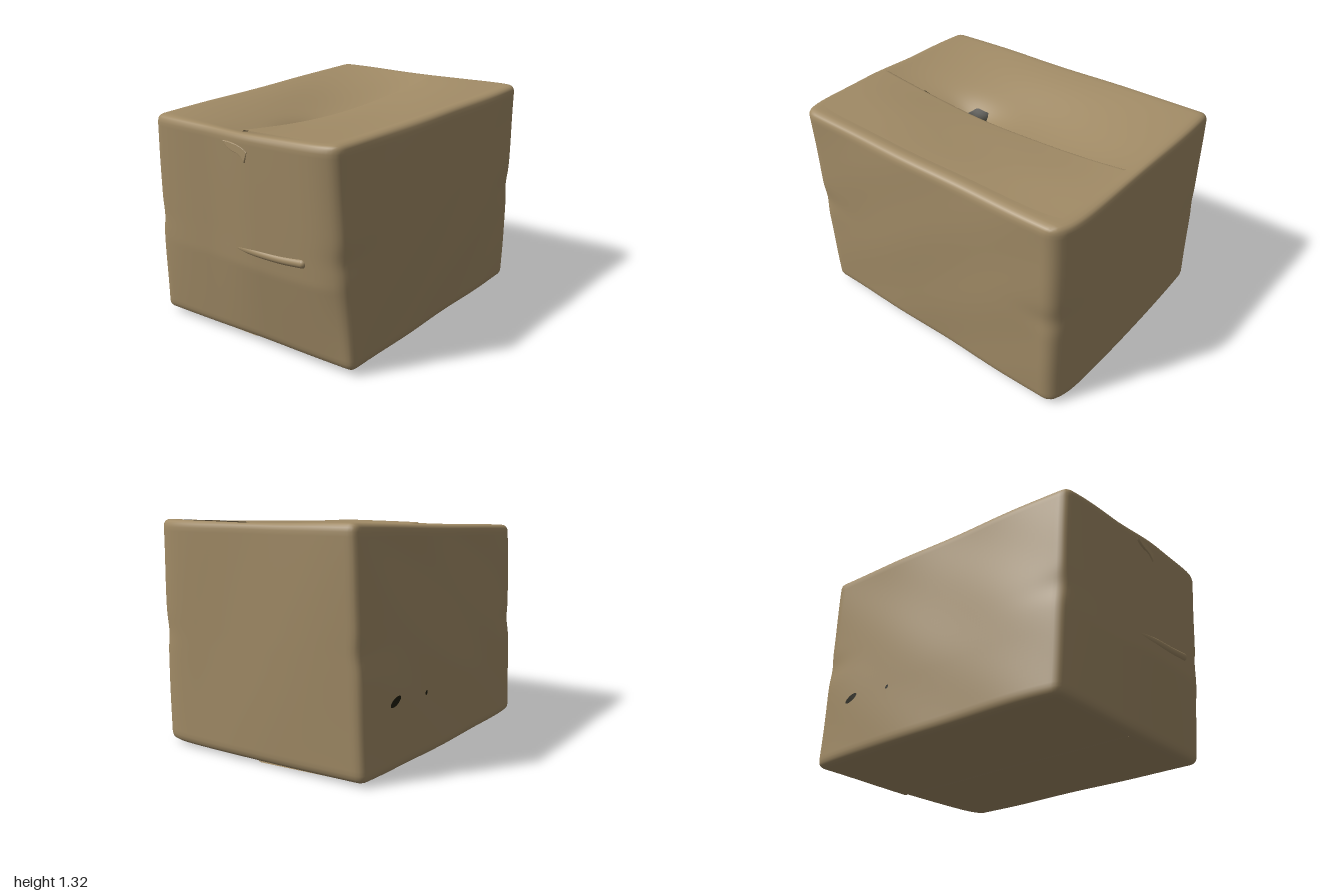
import * as THREE from 'three';
import { mergeVertices } from 'three/addons/utils/BufferGeometryUtils.js';

const HALF = [0.7, 0.64, 0.92]; // nominal half sizes of the carton
const lerp = THREE.MathUtils.lerp;
const smooth = THREE.MathUtils.smoothstep;
const bump = (d, width) => Math.exp(-(d * d) / (width * width));

// Corners of the sagging carton, indexed by (x side) + 2 * (y side) + 4 * (z side)
const CORNERS = [
  [-0.71, 0.02, -0.975], [0.725, 0.02, -0.88], [-0.67, 1.325, -0.98], [0.745, 1.32, -0.87],
  [-0.71, 0.03, 0.83], [0.705, 0.03, 0.83], [-0.66, 1.26, 0.88], [0.685, 1.275, 0.92],
];

// How far the two top flaps sink towards the seam
const lowerDip = (u, w) => (1 - w * w) * (u < 0.05 ? 0.145 * Math.pow(smooth(u, -1.1, 0.05), 1.2)
  : 0.145 * Math.max(0, 0.92 - u) / 0.87 + 0.012 * u) + 0.055 * bump(u + 0.03, 0.17) * bump(w - 0.28, 0.2);
const upperDip = (u, w) => (1 - w * w) * (0.09 * Math.pow(Math.max(0, 1 - u), 1.2) + 0.012 * u);

// Maps a point of the unit cube (-1..1) to the crumpled carton
function warp(u, v, w, dip = lowerDip) {
  const a = (u + 1) / 2, b = (v + 1) / 2, c = (w + 1) / 2;
  const p = [0, 1, 2].map((k) => {
    const edge = (i) => lerp(CORNERS[i][k], CORNERS[i + 1][k], a);
    return lerp(lerp(edge(0), edge(2), b), lerp(edge(4), edge(6), b), c);
  });
  const across = 1 - Math.pow(Math.min(1, Math.abs(u)), u > 0 ? 9 : 5);
  // side walls belly out, end panels bulge more towards the left side
  p[0] += u < 0 ? 0.032 * u * (1 - w ** 4) * (1 - 0.8 * smooth(v, -0.4, 1)) : 0.014 * u * (1 - w * w) * (1 - v * v);
  p[2] += w * w * across * (w > 0
    ? lerp(0.03, 0.058, smooth(u, -0.4, 0.2)) * Math.min(1, 1.3 * (v + 1)) : -lerp(0.018, 0.07, a));
  p[1] -= dip(u, w) * Math.pow(Math.max(0, b), 10);
  // corner posts buckle inwards at mid height
  p[0] -= 0.012 * u * bump(v, 0.12) * Math.pow(w, 8);
  // gentle crumples in the board
  p[0] += 0.003 * Math.sin(7 * w + 4 * v) * Math.cos(3 * v);
  p[1] += 0.002 * Math.sin(8 * u + 1) * Math.cos(5 * w);
  p[2] += 0.003 * Math.sin(4 * u + 2 * v);
  return new THREE.Vector3(...p);
}

// A thin sheet given by a function of s and t (both 0..1)
function sheet(fn, ns, nt) {
  const g = new THREE.PlaneGeometry(1, 1, ns, nt);
  const pos = g.attributes.position;
  for (let i = 0; i < pos.count; i++) {
    const p = fn(pos.getX(i) + 0.5, pos.getY(i) + 0.5);
    pos.setXYZ(i, p.x, p.y, p.z);
  }
  g.computeVertexNormals();
  return g;
}

// Closed carton: a box grid with rounded edges, then warped
function cartonGeometry() {
  let g = new THREE.BoxGeometry(...HALF.map((h) => h * 2), 60, 56, 76);
  g.deleteAttribute('uv');
  g.deleteAttribute('normal');
  g = mergeVertices(g, 1e-4);
  const pos = g.attributes.position, r = 0.045;
  const p = new THREE.Vector3(), q = new THREE.Vector3();
  const inner = new THREE.Vector3(...HALF).subScalar(r);
  const innerMin = inner.clone().negate();
  for (let i = 0; i < pos.count; i++) {
    p.fromBufferAttribute(pos, i);
    q.copy(p).clamp(innerMin, inner);
    p.sub(q).normalize().multiplyScalar(r).add(q);
    const s = warp(p.x / HALF[0], p.y / HALF[1], p.z / HALF[2]);
    pos.setXYZ(i, s.x, s.y, s.z);
  }
  g.computeVertexNormals();
  return g;
}

export function createModel() {
  const group = new THREE.Group();
  const cardboard = new THREE.MeshStandardMaterial({ color: 0xa18b66, side: THREE.DoubleSide });
  cardboard.name = 'cardboard';
  const shadow = new THREE.MeshStandardMaterial({ color: 0x1e1c0c, side: THREE.DoubleSide });
  shadow.name = 'dark interior';
  const add = (name, geometry, material = cardboard) => {
    const mesh = new THREE.Mesh(geometry, material);
    mesh.name = name;
    group.add(mesh);
    return mesh;
  };

  add('carton', cartonGeometry());

  // Overlapping top flap, its free edge rolled down along the seam
  add('topFlap', sheet((s, t) => {
    const w = lerp(0.94, -0.92, t);
    const p = warp(lerp(lerp(0.06, 0.015, (w + 1) / 2), 0.94, s), 1, w, upperDip);
    p.y += 0.011 * (1 - Math.pow(w, 8)) * (1 - s * s) - 0.002 * s - 0.014 * (1 - smooth(s, 0, 0.03));
    return p;
  }, 60, 40));

  // Overlapping bottom flap with a rolled edge
  add('bottomFlap', sheet((s, t) => {
    const p = warp(lerp(-0.93, 0.02, s), -1, lerp(-0.95, 0.95, t));
    p.y -= 0.013 * s * (1 - smooth(s, 0.95, 1)) + 0.001;
    return p;
  }, 60, 32));

  // Dark opening beside the seam, lying on the lower flap
  const onTop = (x, z) => {
    const p = warp((x - 0.02) / 0.7, 1, (z + 0.015) / 0.93);
    p.y += 0.006;
    return p;
  };
  add('seamGap', sheet((s, t) => {
    const z = lerp(0.6, -0.65, t);
    const left = lerp(0.005, 0.06, Math.pow(t, 1.8));
    return onTop(lerp(left, 0.1, s), z);
  }, 4, 40), shadow);
  add('tornHole', sheet((s, t) => {
    const z = lerp(0.31, 0.13, t);
    const reach = Math.min(0.105, 0.04 + 0.35 * t) * (1 - smooth(t, 0.65, 1));
    return onTop(lerp(-reach, 0.03, s), z);
  }, 6, 12), shadow);

  // Small punctures in the right wall: z, y, half length, half height
  [[-0.63, 0.37, 0.05, 0.022], [-0.31, 0.36, 0.012, 0.012]].forEach(([z, y, len, high]) => {
    add('wallPuncture', sheet((s, t) => {
      const angle = 2 * Math.PI * s;
      const dz = len * t * Math.cos(angle), dy = high * t * Math.sin(angle);
      const p = warp(-1, (y + dy + 0.3 * dz) / 0.64 - 1, (z + dz) / 0.92);
      p.x -= 0.004;
      return p;
    }, 14, 1), shadow);
  });

  // Raised crease across the front panel
  const onFront = (x, y, lift) => {
    const p = warp(x / 0.7, y / 0.64 - 1, 1);
    p.z += lift;
    return p;
  };
  const crease = new THREE.CatmullRomCurve3([
    onFront(-0.12, 0.59, -0.03), onFront(0.1, 0.592, -0.02),
    onFront(0.3, 0.598, -0.014), onFront(0.45, 0.61, -0.01),
  ]);
  add('frontCrease', new THREE.TubeGeometry(crease, 24, 0.026, 14));
  add('frontCreaseEnd', new THREE.SphereGeometry(0.026, 14, 10)).position.copy(crease.getPoint(1));

  // Small torn tab near the top of the front panel
  const tab = new THREE.Shape();
  tab.moveTo(-0.06, 0.09);
  tab.quadraticCurveTo(0.06, 0.085, 0.1, 0.05);
  tab.lineTo(0.085, 0);
  tab.quadraticCurveTo(0.06, 0.04, 0.01, 0.045);
  tab.quadraticCurveTo(-0.04, 0.06, -0.06, 0.09);
  const tabMesh = add('frontTab', new THREE.ExtrudeGeometry(tab, {
    depth: 0.012, bevelEnabled: true, bevelSize: 0.004, bevelThickness: 0.004, bevelSegments: 2, curveSegments: 8,
  }));
  tabMesh.position.copy(onFront(0, 1.12, 0.002));
  tabMesh.rotation.set(-0.08, 0, 0);

  return group;
}
